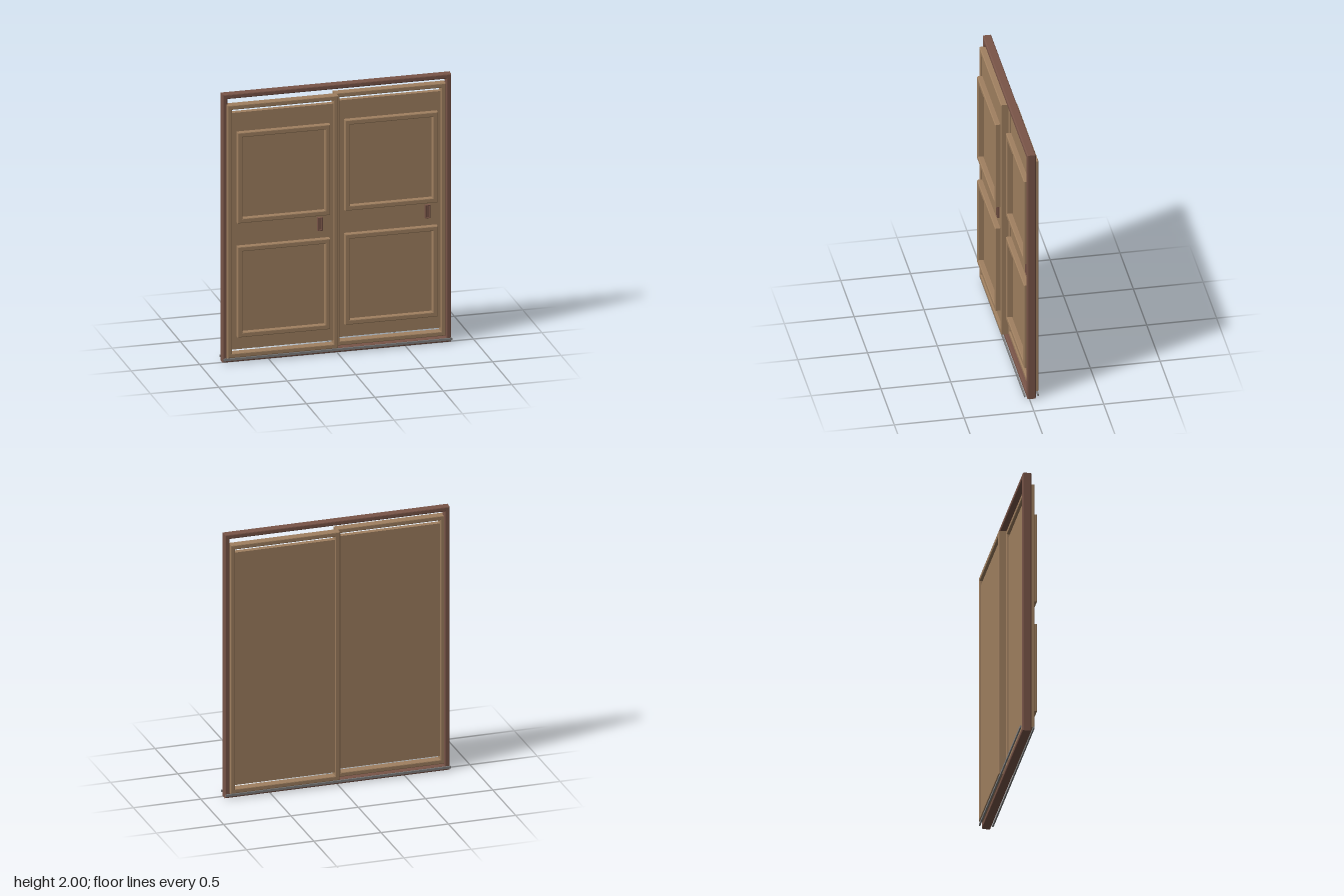
import * as THREE from 'three';

const material = (name, color) => {
  const m = new THREE.MeshStandardMaterial({ color });
  m.name = name;
  return m;
};

// Rectangular ring with chamfered edges, centred on (x, y), spanning z0 to z1
function ring(name, mat, w, h, bar, x, y, z0, z1, bevel = 0.006) {
  const rect = (Type, a, b) => new Type([
    new THREE.Vector2(-a, -b), new THREE.Vector2(a, -b),
    new THREE.Vector2(a, b), new THREE.Vector2(-a, b),
  ]);
  const shape = rect(THREE.Shape, w / 2, h / 2);
  shape.holes.push(rect(THREE.Path, w / 2 - bar, h / 2 - bar));
  const geo = new THREE.ExtrudeGeometry(shape, {
    depth: z1 - z0 - 2 * bevel, bevelEnabled: true, bevelSize: bevel,
    bevelThickness: bevel, bevelOffset: -bevel, bevelSegments: 2,
  });
  geo.translate(x, y, z0 + bevel);
  const mesh = new THREE.Mesh(geo, mat);
  mesh.name = name;
  return mesh;
}

function box(name, mat, w, h, d, x, y, z) {
  const mesh = new THREE.Mesh(new THREE.BoxGeometry(w, h, d), mat);
  mesh.position.set(x, y, z);
  mesh.name = name;
  return mesh;
}

export function createModel() {
  const wood = material('door wood', 0xa08060);
  const brown = material('frame brown', 0x795548);
  const metal = material('rail metal', 0x808080);
  const model = new THREE.Group();
  model.name = 'slidingDoor';

  // Fixed outer frame
  model.add(ring('outerFrame', brown, 1.67, 2, 0.036, 0, 1, -0.047, 0.016, 0.008));

  // Sliding leaf; its origin is at its own middle depth
  function leaf(name) {
    const door = new THREE.Group();
    door.name = name;
    door.add(ring('leafFrame', wood, 0.81, 1.885, 0.034, 0, 0.9825, -0.032, 0.032));
    door.add(box('panel', wood, 0.744, 1.765, 0.04, 0, 0.9825, 0));
    // Raised mouldings above and below the handle
    for (const [part, y] of [['upperMoulding', 1.388], ['lowerMoulding', 0.537]]) {
      door.add(ring(part, wood, 0.677, 0.676, 0.036, 0, y, 0.018, 0.0615));
    }
    // Pull handle: a frame around a recessed plate
    door.add(ring('handleFrame', brown, 0.036, 0.1, 0.008, 0.272, 0.98, 0.018, 0.038, 0.002));
    door.add(box('handlePlate', brown, 0.022, 0.086, 0.012, 0.272, 0.98, 0.026));
    return door;
  }
  const front = leaf('frontLeaf');
  front.position.set(-0.404, 0, 0.012);
  const rear = leaf('rearLeaf');
  rear.position.set(0.396, 0, -0.0415);
  model.add(front, rear);

  // Floor rails under each leaf
  for (const [part, z] of [['frontRail', 0.033], ['rearRail', -0.062]]) {
    model.add(box(part, metal, 1.67, 0.016, 0.01, 0, 0.028, z));
  }
  return model;
}
